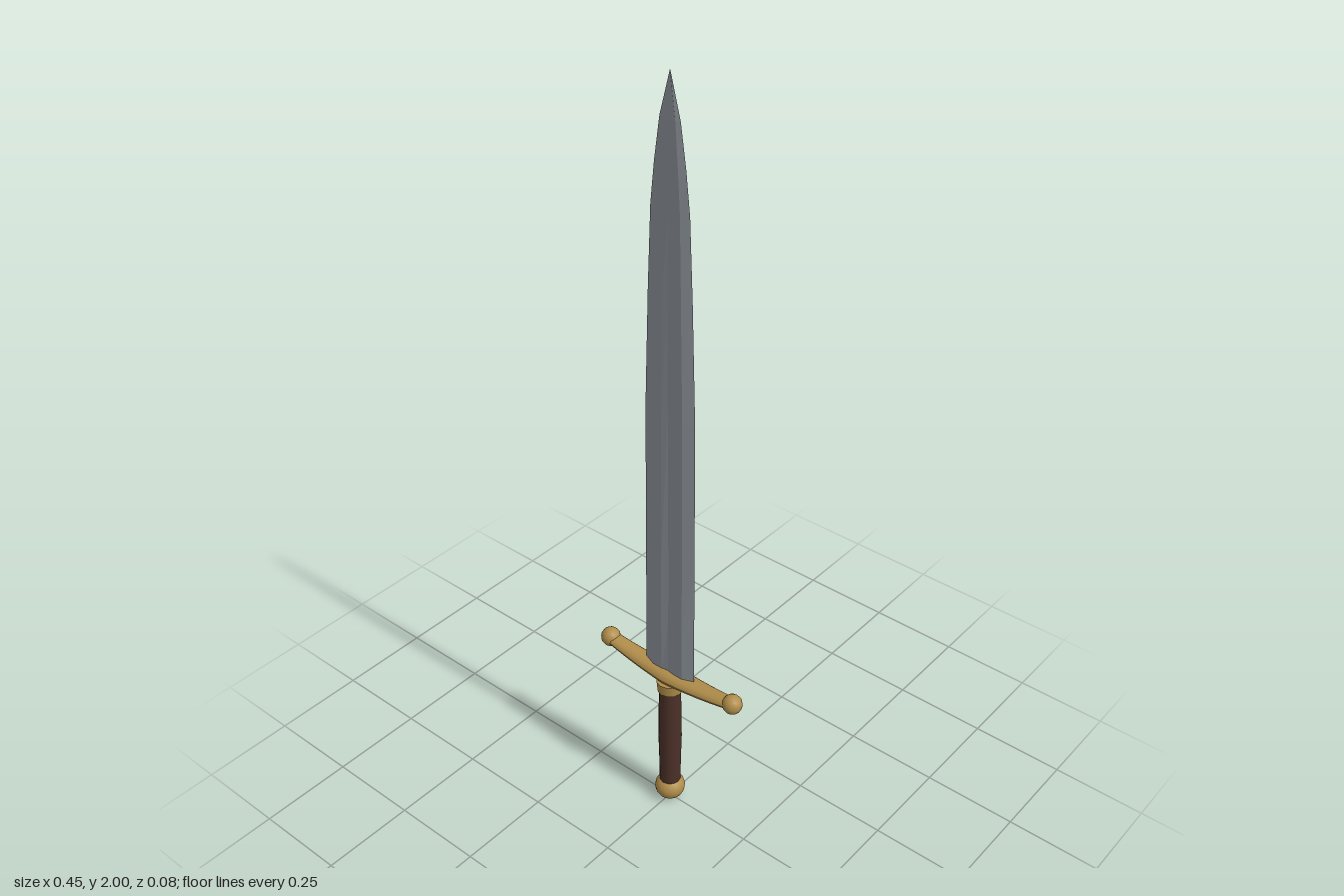
import * as THREE from 'three';

const steel = new THREE.MeshStandardMaterial({ color: 0x8c9298 });
steel.name = 'steel';
steel.flatShading = true;
const brass = new THREE.MeshStandardMaterial({ color: 0xb08d4a });
brass.name = 'brass';
const leather = new THREE.MeshStandardMaterial({ color: 0x4c3028 });
leather.name = 'leather';

function addPart(group, name, geometry, material, x = 0, y = 0) {
  const mesh = new THREE.Mesh(geometry, material);
  mesh.name = name;
  mesh.position.set(x, y, 0);
  group.add(mesh);
  return mesh;
}

// Blade: bevelled section with a shallow fuller, swept up through [y, half width, half thickness, fuller depth]
function bladeGeometry() {
  const rows = [
    [0.42, 0.078, 0.011, 0.002], [0.6, 0.077, 0.011, 0.004], [0.78, 0.076, 0.0105, 0.004],
    [1.2, 0.073, 0.01, 0.002], [1.5, 0.063, 0.009, 0.001], [1.7, 0.054, 0.007, 0],
    [1.8, 0.043, 0.006, 0], [1.9, 0.028, 0.004, 0], [2.0, 0.0005, 0.0005, 0],
  ];
  const front = [1, 0.6, 0.25, 0, -0.25, -0.6];
  const n = front.length * 2 - 2;
  const positions = [], index = [];
  for (const [y, w, t, d] of rows) {
    const side = (u, s) => {
      const z = Math.abs(u) === 1 ? 0 : t - (u === 0 ? d : 0);
      positions.push(u * w, y, s * z);
    };
    // counter-clockwise loop seen from below: front edge to edge, then back
    front.slice(1).forEach((u) => side(u, 1));
    side(-1, 1);
    front.slice(1).reverse().forEach((u) => side(u, -1));
    side(1, 1);
  }
  const loop = n + 2;
  for (let r = 0; r < rows.length - 1; r++) {
    for (let i = 0; i < loop; i++) {
      const a = r * loop + i, b = r * loop + (i + 1) % loop;
      index.push(a, a + loop, b, b, a + loop, b + loop);
    }
  }
  const g = new THREE.BufferGeometry();
  g.setAttribute('position', new THREE.Float32BufferAttribute(positions, 3));
  g.setIndex(index);
  g.computeVertexNormals();
  return g;
}

// Crossguard: bar that tapers and curves up toward both ends
function guardGeometry() {
  const g = new THREE.CylinderGeometry(1, 1, 0.4, 16, 16).rotateZ(Math.PI / 2);
  const p = g.attributes.position;
  for (let i = 0; i < p.count; i++) {
    const x = p.getX(i), t = Math.abs(x) / 0.2;
    const ry = THREE.MathUtils.lerp(0.021, 0.013, t);
    const rz = THREE.MathUtils.lerp(0.033, 0.02, t);
    p.setXYZ(i, x, 0.425 + 0.018 * t * t + p.getY(i) * ry, p.getZ(i) * rz);
  }
  g.computeVertexNormals();
  return g;
}

export function createModel() {
  const group = new THREE.Group();
  group.name = 'sword';

  addPart(group, 'blade', bladeGeometry(), steel);
  addPart(group, 'crossguard', guardGeometry(), brass);
  for (const s of [-1, 1]) {
    addPart(group, s > 0 ? 'leftGuardKnob' : 'rightGuardKnob',
      new THREE.SphereGeometry(0.026, 12, 8), brass, s * 0.2, 0.443);
  }

  // Collar under the guard
  addPart(group, 'collar', new THREE.CylinderGeometry(0.036, 0.033, 0.032, 12), brass, 0, 0.394);

  // Leather grip with a slight swell
  const profile = [[0.028, 0.065], [0.029, 0.14], [0.031, 0.22], [0.03, 0.3], [0.028, 0.39]];
  const grip = new THREE.LatheGeometry(profile.map(([r, y]) => new THREE.Vector2(r, y)), 12);
  addPart(group, 'grip', grip, leather);

  // Pommel
  const pommel = addPart(group, 'pommel', new THREE.SphereGeometry(0.04, 16, 10), brass, 0, 0.037);
  pommel.scale.y = 0.92;
  return group;
}
